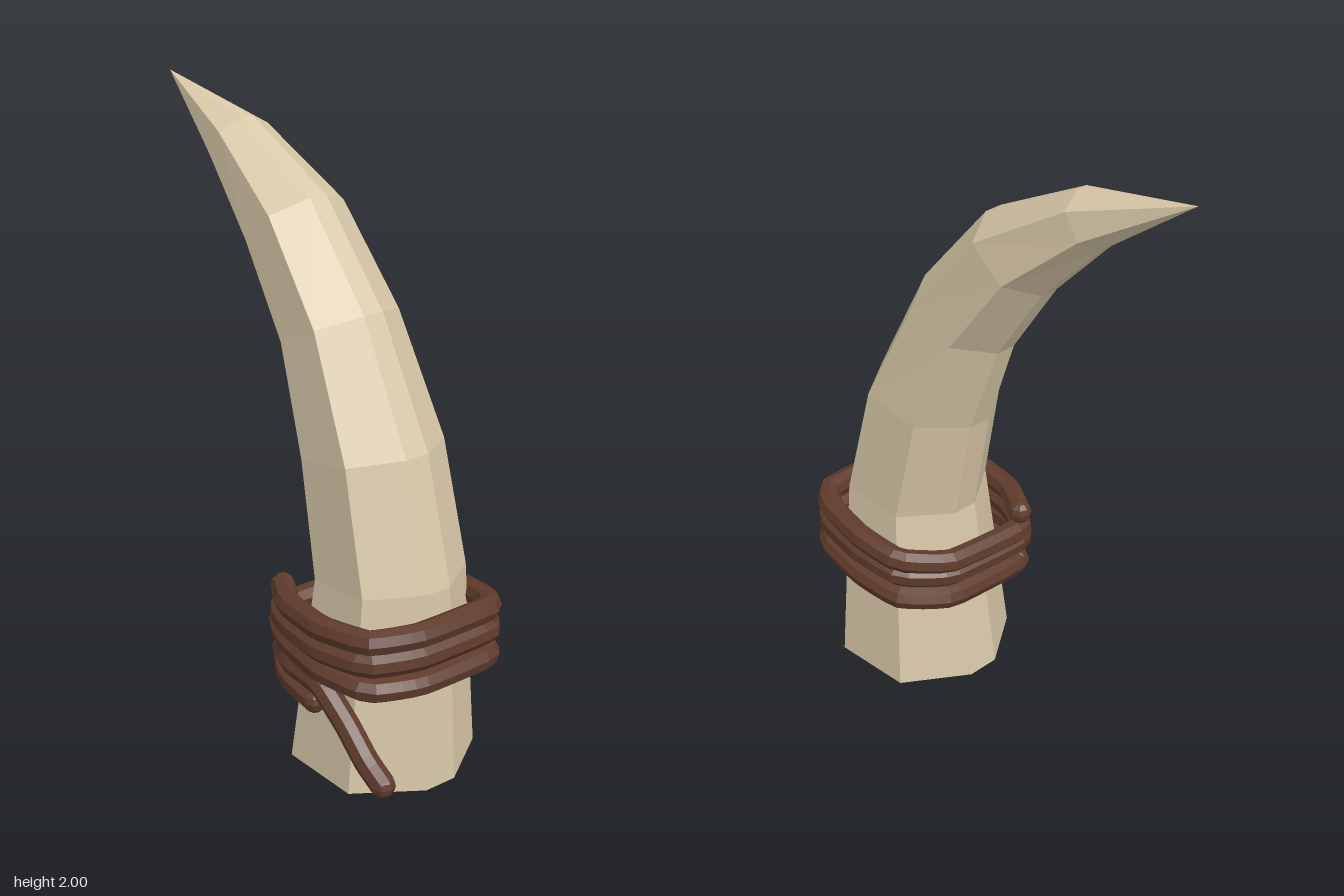
import * as THREE from 'three';

const ivory = new THREE.MeshStandardMaterial({ color: 0xd8c8a8, flatShading: true });
ivory.name = 'ivory';
const leather = new THREE.MeshStandardMaterial({ color: 0x5f3b2c, flatShading: true });
leather.name = 'leather';

// Cross-section: s runs from the inner to the outer side of the bend, t across it
const SECTION = [
  [0.25, 1], [0.76, 1], [1, 0.22], [1, -0.22],
  [0.76, -1], [0.25, -1], [0, -0.22], [0, 0.22],
];

// Rings from the cavity roof, down to the rim and up to the tip:
// inner x, inner y, outer x, outer y, half width in z
const RINGS = [
  [0.41, 0.64, 0.41, 0.64, 0],
  [0.25, 0.6, 0.57, 0.6, 0.15],
  [0.18, 0, 0.6, 0, 0.19],
  [0.11, 0, 0.67, 0, 0.26],
  [0.19, 0.62, 0.635, 0.66, 0.208],
  [0.115, 0.98, 0.525, 1.06, 0.195],
  [0.0, 1.29, 0.315, 1.45, 0.165],
  [-0.18, 1.55, 0.05, 1.75, 0.145],
  [-0.4, 1.77, -0.3, 1.925, 0.095],
  [-0.72, 2, -0.72, 2, 0],
];

function hornGeometry() {
  const n = SECTION.length;
  const positions = [];
  const index = [];
  for (const [xi, yi, xo, yo, half] of RINGS) {
    for (const [s, t] of SECTION) {
      positions.push(xi + (xo - xi) * s, yi + (yo - yi) * s, -0.02 + t * half);
    }
  }
  for (let i = 0; i < RINGS.length - 1; i++) {
    for (let j = 0; j < n; j++) {
      const a = i * n + j;
      const b = i * n + (j + 1) % n;
      if (RINGS[i][4] > 0) index.push(a, b, i === RINGS.length - 2 ? a + n : b + n);
      if (i < RINGS.length - 2) index.push(a, b + n, a + n);
    }
  }
  const g = new THREE.BufferGeometry();
  g.setAttribute('position', new THREE.Float32BufferAttribute(positions, 3));
  g.setIndex(index);
  const flat = g.toNonIndexed();
  flat.computeVertexNormals();
  return flat;
}

// A cord along the points with rounded ends
function cord(name, points, segments, radius = 0.04) {
  const group = new THREE.Group();
  group.name = name;
  const pts = points.map((p) => new THREE.Vector3(...p));
  const curve = new THREE.CatmullRomCurve3(pts, false, 'catmullrom', 0.2);
  const tube = new THREE.Mesh(new THREE.TubeGeometry(curve, segments, radius, 8), leather);
  tube.name = name + 'Strand';
  group.add(tube);
  for (const p of [pts[0], pts[pts.length - 1]]) {
    const end = new THREE.Mesh(new THREE.SphereGeometry(radius, 8, 6), leather);
    end.name = name + 'End';
    end.position.copy(p);
    group.add(end);
  }
  return group;
}

// Path of one turn: x, z and how far the height has moved left to right (0 to 1)
const FRONT = [[0.13, 0.18, 0], [0.25, 0.25, 0.2], [0.44, 0.275, 0.55], [0.61, 0.23, 0.9], [0.67, 0.08, 1]];
const BACK = [[0.67, -0.19, 0], [0.6, -0.25, 0.15], [0.42, -0.28, 0.4], [0.25, -0.265, 0.65], [0.15, -0.13, 0.9]];

function wrapPoints() {
  const left = [0.54, 0.47, 0.425, 0.335];
  const right = [0.56, 0.485, 0.395];
  const points = [];
  for (let k = 0; k < 3; k++) {
    for (const [x, z, f] of FRONT) points.push([x, left[k] + (right[k] - left[k]) * f, z]);
    for (const [x, z, f] of BACK) points.push([x, right[k] + (left[k + 1] - right[k]) * f, z]);
  }
  // Short free end lying on the front
  points.push([0.14, 0.33, 0.17], [0.24, 0.285, 0.24], [0.38, 0.265, 0.25]);
  return points;
}

export function createModel() {
  const model = new THREE.Group();
  model.name = 'boundHorn';

  const horn = new THREE.Mesh(hornGeometry(), ivory);
  horn.name = 'horn';
  model.add(horn);

  model.add(cord('wrapping', wrapPoints(), 150));

  // Loose tail hanging from the binding
  model.add(cord('tail', [
    [0.15, 0.33, 0.19], [0.27, 0.35, 0.25], [0.42, 0.34, 0.255],
    [0.54, 0.25, 0.25], [0.63, 0.17, 0.25], [0.685, 0.105, 0.23],
  ], 28));
  return model;
}
